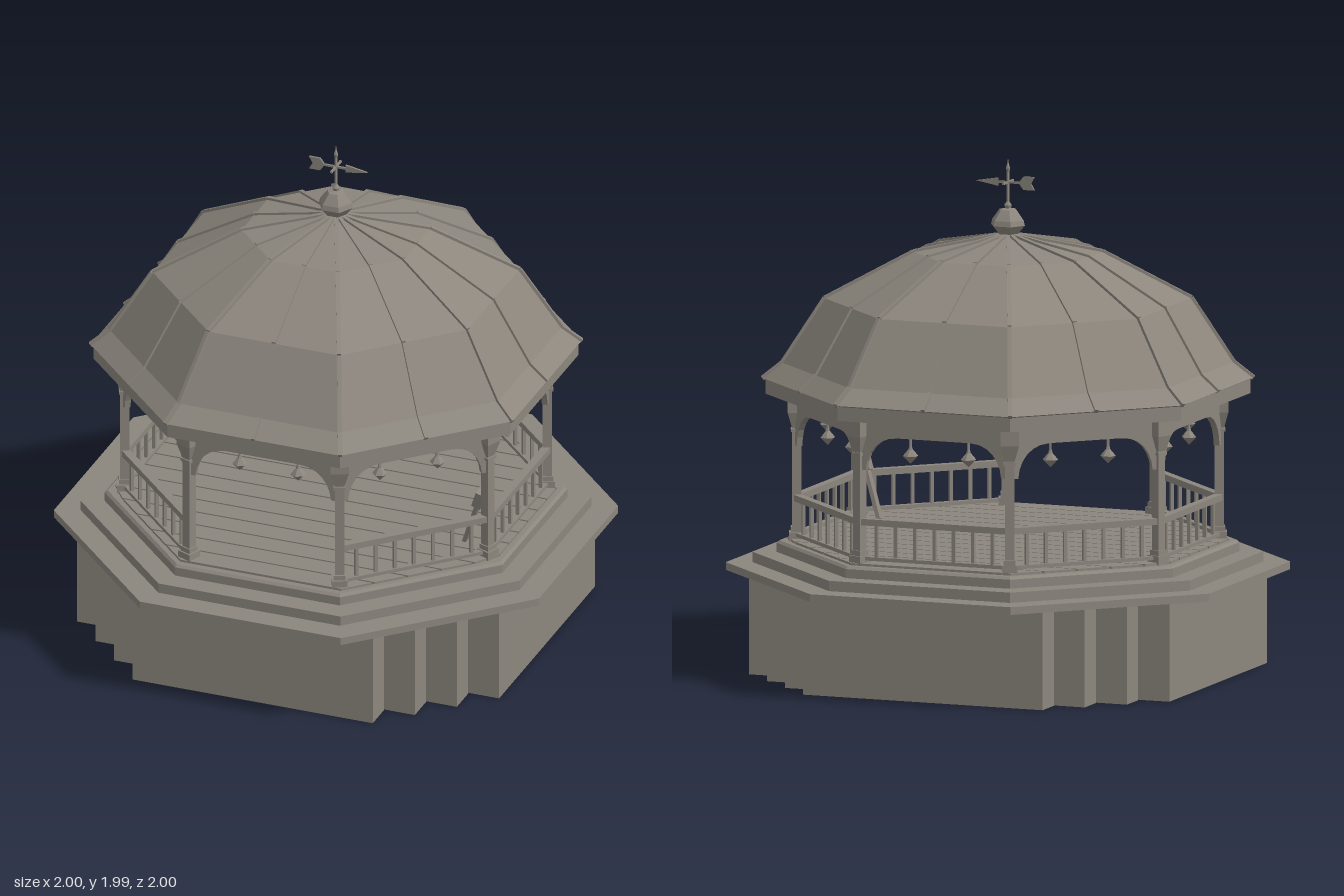
import * as THREE from 'three';

const COS8 = Math.cos(Math.PI / 8);

export function createModel() {
  const root = new THREE.Group();
  const stone = new THREE.MeshStandardMaterial({ color: 0x8c867d, flatShading: true });
  stone.name = 'warm grey';

  const add = (parent, name, geo, x = 0, y = 0, z = 0) => {
    const m = new THREE.Mesh(geo, stone);
    m.name = name;
    m.position.set(x, y, z);
    parent.add(m);
    return m;
  };
  const box = (parent, name, w, h, d, x, y, z) => add(parent, name, new THREE.BoxGeometry(w, h, d), x, y, z);
  const group = (name, parent = root) => {
    const g = new THREE.Group();
    g.name = name;
    parent.add(g);
    return g;
  };
  // octagonal slab with flat sides facing the axes, sized by apothem
  const octagon = (name, top, bottom, y0, y1) => {
    const geo = new THREE.CylinderGeometry(top / COS8, bottom / COS8, y1 - y0, 8).rotateY(Math.PI / 8);
    return add(root, name, geo, 0, (y0 + y1) / 2, 0);
  };
  const lathe = (points, sides) => new THREE.LatheGeometry(points.map(p => new THREE.Vector2(...p)), sides);

  // foundation: central block and narrowing slabs with thin joints
  const foundation = group('foundation');
  box(foundation, 'foundationCore', 1.74, 0.385, 1.0, 0, 0.1925, 0);
  [0.745, 0.62, 0.495].forEach((half, i) => {
    for (const s of [-1, 1]) {
      box(foundation, 'foundationSlab', half * 2, 0.385, 0.115, 0, 0.1925, s * (0.5675 + i * 0.1225));
    }
  });

  // stepped platform
  octagon('lowerStep', 1.0, 1.0, 0.385, 0.415);
  octagon('middleStep', 0.905, 0.905, 0.415, 0.455);
  octagon('upperStep', 0.82, 0.82, 0.455, 0.49);
  octagon('upperStepBevel', 0.81, 0.82, 0.49, 0.5);

  // floor boards running across, clipped to the octagon
  const floor = group('floor');
  const A = 0.79, rows = 16, step = (2 * A) / rows;
  const halfAt = z => Math.min(A, A * Math.SQRT2 - Math.abs(z));
  for (let i = 0; i < rows; i++) {
    const z0 = -A + i * step + 0.004, z1 = z0 + step - 0.008;
    const a = halfAt(z0), b = halfAt(z1);
    const shape = new THREE.Shape([[-a, -z0], [a, -z0], [b, -z1], [-b, -z1]].map(p => new THREE.Vector2(...p)));
    const geo = new THREE.ExtrudeGeometry(shape, { depth: 0.009, bevelEnabled: false }).rotateX(-Math.PI / 2);
    add(floor, 'floorBoard', geo, 0, 0.5, 0);
  }

  // arched valance between two posts
  const arch = new THREE.Shape();
  arch.moveTo(-0.3, 1.075);
  arch.lineTo(0.3, 1.075);
  arch.lineTo(0.3, 0.87);
  arch.lineTo(0.28, 0.87);
  arch.bezierCurveTo(0.275, 0.94, 0.23, 1.0, 0.15, 1.0);
  arch.lineTo(-0.15, 1.0);
  arch.bezierCurveTo(-0.23, 1.0, -0.275, 0.94, -0.28, 0.87);
  arch.lineTo(-0.3, 0.87);
  const archGeo = new THREE.ExtrudeGeometry(arch, { depth: 0.024, bevelEnabled: false, curveSegments: 6 });
  const lampGeo = lathe([[0, 0.895], [0.01, 0.905], [0.03, 0.925], [0.022, 0.935], [0.009, 0.95], [0.005, 0.965], [0.005, 1.075]], 6);
  const capitalGeo = new THREE.CylinderGeometry(0.035 * Math.SQRT2, 0.019 * Math.SQRT2, 0.06, 4).rotateY(Math.PI / 4);

  for (let i = 0; i < 8; i++) {
    const bay = group('bay');
    bay.rotation.y = (i * Math.PI) / 4;
    add(bay, 'archedValance', archGeo, 0, 0, 0.738);
    for (const s of [-1, 1]) add(bay, 'hangingLamp', lampGeo, s * 0.12, 0, 0.7);
    // the front bay is the open entrance
    if (i > 0) {
      box(bay, 'handRail', 0.6, 0.025, 0.032, 0, 0.667, 0.75);
      box(bay, 'bottomRail', 0.6, 0.014, 0.024, 0, 0.525, 0.75);
      for (let k = -3; k <= 3; k++) box(bay, 'baluster', 0.013, 0.135, 0.013, k * 0.08, 0.592, 0.75);
    }
    // corner post
    const post = group('post');
    post.rotation.y = ((i + 0.5) * Math.PI) / 4;
    const R = 0.81;
    box(post, 'postBase', 0.06, 0.035, 0.06, 0, 0.5175, R);
    box(post, 'postPlinth', 0.046, 0.02, 0.046, 0, 0.545, R);
    box(post, 'postShaft', 0.036, 0.56, 0.036, 0, 0.78, R);
    box(post, 'postCollar', 0.046, 0.012, 0.046, 0, 0.93, R);
    add(post, 'postCapital', capitalGeo, 0, 0.97, R);
    box(post, 'postHead', 0.07, 0.075, 0.07, 0, 1.0375, R);
  }

  // domed roof with fascia and soffit
  const profile = [[0.87, 1.13], [0.8, 1.19], [0.65, 1.44], [0.335, 1.62], [0, 1.69]];
  const outline = [[0, 1.07], [0.86, 1.07], [0.86, 1.125], ...profile];
  add(root, 'roof', lathe(outline.map(([a, y]) => [a / COS8, y]), 8).rotateY(Math.PI / 8));

  // roof ribs on every corner and every face middle
  const ribs = group('roofRibs');
  for (let i = 0; i < 16; i++) {
    const rib = group('roofRib', ribs);
    rib.rotation.y = (i * Math.PI) / 8;
    const k = i % 2 ? 1 / COS8 : 1;
    for (let j = 0; j < 4; j++) {
      const [a0, y0] = profile[j], [a1, y1] = profile[j + 1];
      const dz = (a1 - a0) * k, dy = y1 - y0;
      const b = box(rib, 'ribLength', 0.016, 0.018, Math.hypot(dz, dy), 0, (y0 + y1) / 2, ((a0 + a1) / 2) * k);
      b.rotation.x = Math.atan2(-dy, dz);
    }
  }

  // finial and weathervane
  const vane = group('weathervane');
  add(vane, 'finial', lathe([[0, 1.66], [0.04, 1.68], [0.04, 1.69], [0.07, 1.725], [0.065, 1.745],
    [0.035, 1.785], [0.012, 1.79], [0.016, 1.802], [0.006, 1.815], [0.006, 1.93], [0.009, 1.945], [0.004, 1.96], [0, 1.985]], 6)
    .rotateY(Math.PI / 6 * 3));
  box(vane, 'arrowShaft', 0.17, 0.008, 0.008, -0.01, 1.89, 0);
  box(vane, 'crossBar', 0.008, 0.008, 0.1, 0, 1.89, 0);
  const plate = (name, pts) => add(vane, name, new THREE.ExtrudeGeometry(
    new THREE.Shape(pts.map(p => new THREE.Vector2(...p))), { depth: 0.008, bevelEnabled: false }), 0, 1.89, -0.004);
  plate('arrowHead', [[0.04, -0.016], [0.13, 0], [0.04, 0.016]]);
  plate('arrowTail', [[-0.11, -0.026], [-0.065, -0.026], [-0.045, 0], [-0.065, 0.026], [-0.11, 0.026], [-0.095, 0]]);

  // broom leaning on the rail beside a post
  const broom = group('broom');
  broom.position.set(0.625, 0.51, 0.232);
  broom.quaternion.setFromUnitVectors(new THREE.Vector3(0, 1, 0), new THREE.Vector3(0.085, 0.24, 0.04).normalize());
  box(broom, 'broomHandle', 0.016, 0.2, 0.034, 0, 0.1, 0);
  box(broom, 'broomHead', 0.038, 0.07, 0.045, 0, 0.225, 0);

  return root;
}
